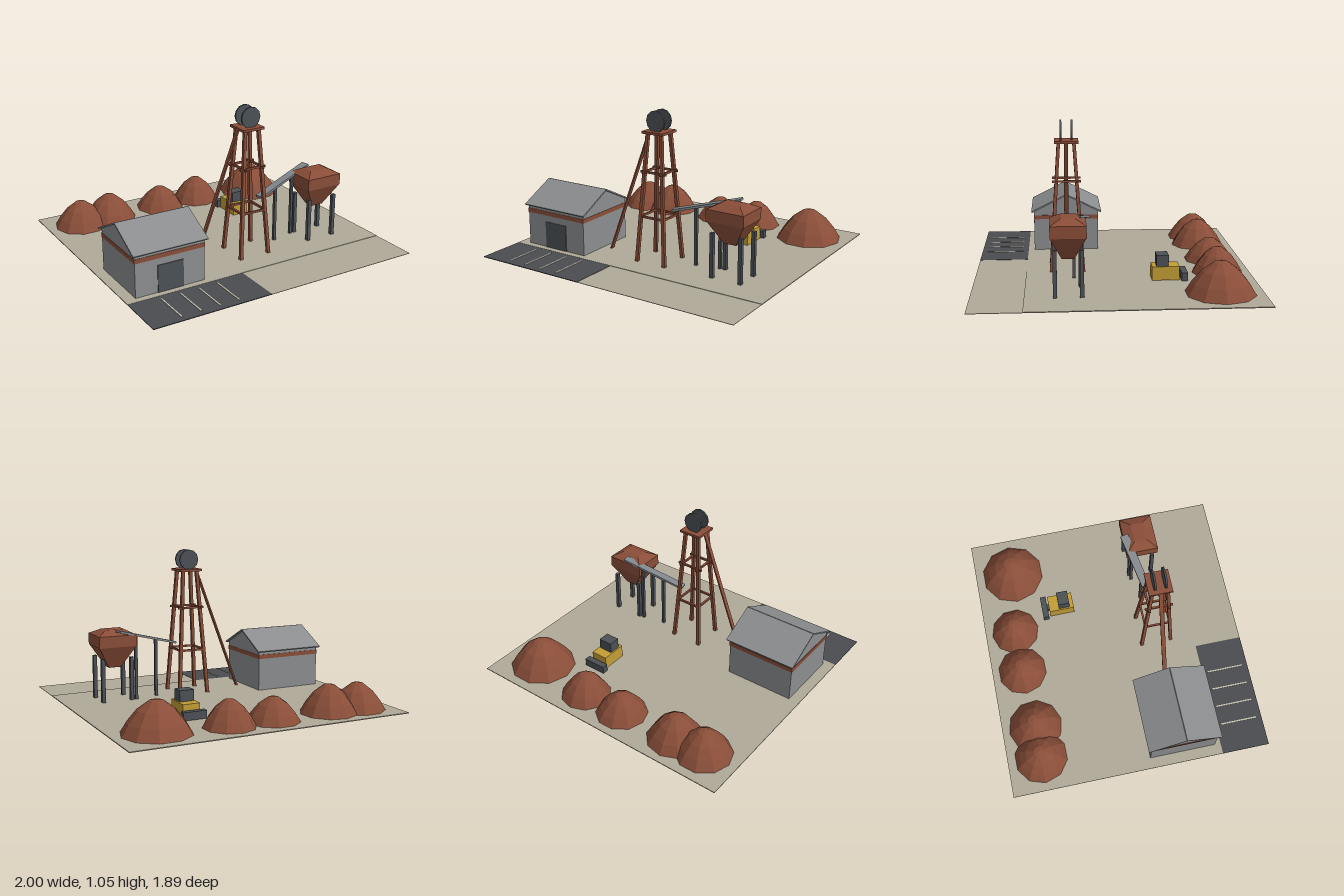
import * as THREE from 'three';

const V = (x, y, z) => new THREE.Vector3(x, y, z);
const paint = (name, color) => {
  const m = new THREE.MeshStandardMaterial({ color });
  m.name = name;
  return m;
};

export function createModel() {
  const root = new THREE.Group();
  root.name = 'mineYard';
  const sand = paint('sand', 0xb0a998);
  const asphalt = paint('asphalt', 0x4a4c50);
  const line = paint('parkingLine', 0xc8c3b0);
  const rust = paint('rust', 0x8a4e39);
  const grey = paint('wallGrey', 0x8b8d8f);
  const steel = paint('darkSteel', 0x4c5156);
  const belt = paint('beltGrey', 0x80868a);
  const yellow = paint('yellow', 0xc29d35);

  const group = (name) => {
    const g = new THREE.Group();
    g.name = name;
    root.add(g);
    return g;
  };
  const add = (parent, name, geo, mat) => {
    const m = new THREE.Mesh(geo, mat);
    m.name = name;
    parent.add(m);
    return m;
  };
  // Faceted copy of a geometry
  const flat = (geo) => {
    const g = geo.toNonIndexed();
    g.computeVertexNormals();
    return g;
  };
  // Box given by its limits on each axis
  const block = (parent, name, mat, x0, x1, y0, y1, z0, z1) => {
    const m = add(parent, name, new THREE.BoxGeometry(x1 - x0, y1 - y0, z1 - z0), mat);
    m.position.set((x0 + x1) / 2, (y0 + y1) / 2, (z0 + z1) / 2);
  };
  // Straight bar between two points
  const bar = (parent, name, mat, a, b, w, d) => {
    const m = add(parent, name, new THREE.BoxGeometry(w, a.distanceTo(b), d), mat);
    m.position.copy(a).lerp(b, 0.5);
    m.quaternion.setFromUnitVectors(V(0, 1, 0), b.clone().sub(a).normalize());
  };
  // Tapered box: half sizes at the bottom and at the top
  const taper = (bx, bz, tx, tz, h) => {
    const g = new THREE.BoxGeometry(2, h, 2);
    const p = g.attributes.position;
    for (let i = 0; i < p.count; i++) {
      const top = p.getY(i) > 0;
      p.setX(i, p.getX(i) * (top ? tx : bx));
      p.setZ(i, p.getZ(i) * (top ? tz : bz));
    }
    return flat(g);
  };

  // Ground and car park
  const ground = group('ground');
  block(ground, 'yard', sand, -1, 1, 0, 0.006, -0.945, 0.6);
  block(ground, 'frontStrip', sand, -0.16, 1, 0, 0.003, 0.6, 0.945);
  block(ground, 'carPark', asphalt, -1, -0.16, 0, 0.005, 0.6, 0.945);
  for (const x of [-0.787, -0.65, -0.515, -0.378])
    block(ground, 'parkingLine', line, x - 0.005, x + 0.005, 0.005, 0.008, 0.64, 0.905);

  // Shed with gabled roof
  const shed = group('shed');
  const gable = new THREE.Shape();
  gable.moveTo(-0.24, 0);
  gable.lineTo(0.24, 0);
  gable.lineTo(0.24, 0.3);
  gable.lineTo(0, 0.42);
  gable.lineTo(-0.24, 0.3);
  const walls = add(shed, 'walls', new THREE.ExtrudeGeometry(gable, { depth: 0.5, bevelEnabled: false }), grey);
  walls.rotation.y = Math.PI / 2;
  walls.position.set(-0.923, 0.004, 0.315);
  block(shed, 'wallBand', rust, -0.926, -0.42, 0.242, 0.272, 0.072, 0.558);
  block(shed, 'door', steel, -0.765, -0.58, 0.004, 0.195, 0.553, 0.56);
  for (const s of [-1, 1])
    bar(shed, 'roofSheet', grey, V(-0.672, 0.429, 0.313), V(-0.672, 0.298, 0.313 + s * 0.261), 0.535, 0.01);

  // Headframe tower
  const tower = group('headframe');
  tower.position.set(0.052, 0, 0.315);
  for (const sx of [-1, 1])
    for (const sz of [-1, 1])
      bar(tower, 'towerLeg', rust, V(sx * 0.112, 0, sz * 0.112), V(sx * 0.053, 0.9, sz * 0.053), 0.023, 0.023);
  for (const [y, off, half] of [[0.325, 0.09, 0.094], [0.635, 0.07, 0.1]])
    for (const s of [-1, 1]) {
      block(tower, 'towerBrace', rust, -half, half, y - 0.007, y + 0.007, s * off - 0.007, s * off + 0.007);
      block(tower, 'towerBrace', rust, s * off - 0.007, s * off + 0.007, y - 0.007, y + 0.007, -half, half);
    }
  block(tower, 'towerPlatform', rust, -0.083, 0.083, 0.897, 0.914, -0.083, 0.083);
  for (const s of [-1, 1]) {
    const wheel = add(tower, 'sheaveWheel', flat(new THREE.CylinderGeometry(0.073, 0.073, 0.013, 12)), steel);
    wheel.rotation.x = Math.PI / 2;
    wheel.position.set(0, 0.98, s * 0.038);
  }
  bar(tower, 'backStay', rust, V(-0.415, 0, 0), V(-0.075, 0.9, 0), 0.011, 0.03);

  // Sloping conveyor on two posts
  const conveyor = group('conveyor');
  const low = V(0.16, 0.38, 0.308), high = V(0.628, 0.505, 0.207);
  const beltMesh = add(conveyor, 'belt', new THREE.BoxGeometry(0.06, 0.016, low.distanceTo(high)), belt);
  beltMesh.position.copy(low).lerp(high, 0.5);
  beltMesh.lookAt(high);
  for (const [x, z, h] of [[0.32, 0.273, 0.415], [0.487, 0.237, 0.46]])
    block(conveyor, 'conveyorPost', steel, x - 0.01, x + 0.01, 0, h, z - 0.01, z + 0.01);

  // Ore hopper on four posts
  const hopper = group('hopper');
  hopper.position.set(0.63, 0, 0.317);
  block(hopper, 'bin', rust, -0.138, 0.138, 0.395, 0.475, -0.116, 0.116);
  add(hopper, 'chute', taper(0.045, 0.04, 0.136, 0.114, 0.155), rust).position.y = 0.3175;
  add(hopper, 'oreHeap', taper(0.136, 0.114, 0.07, 0.045, 0.035), rust).position.y = 0.4925;
  for (const sx of [-1, 1])
    for (const sz of [-1, 1]) {
      const x = sx * 0.106, z = sz * 0.086;
      block(hopper, 'hopperPost', steel, x - 0.013, x + 0.013, 0, 0.315, z - 0.013, z + 0.013);
    }

  // Digging machine
  const digger = group('digger');
  block(digger, 'diggerBody', yellow, 0.305, 0.428, 0.01, 0.104, -0.433, -0.248);
  block(digger, 'diggerCab', steel, 0.315, 0.418, 0.104, 0.18, -0.36, -0.278);
  block(digger, 'diggerBucket', steel, 0.283, 0.45, 0.01, 0.065, -0.488, -0.445);
  block(digger, 'bucketArm', steel, 0.345, 0.39, 0.025, 0.05, -0.446, -0.432);

  // Ore piles: x, z, radius, height, turn
  const profile = [[1, 0], [0.8, 0.35], [0.53, 0.7], [0.2, 0.96], [0, 1]];
  const piles = [
    [-0.75, -0.7, 0.195, 0.19, 0.32],
    [-0.52, -0.7, 0.198, 0.2, 0.1],
    [-0.08, -0.72, 0.182, 0.167, 0.32],
    [0.24, -0.72, 0.178, 0.185, 0.05],
    [0.71, -0.66, 0.234, 0.22, 0.314],
  ];
  for (const [x, z, r, h, turn] of piles) {
    const pts = profile.map(([a, b]) => new THREE.Vector2(a * r, b * h));
    const pile = add(root, 'orePile', flat(new THREE.LatheGeometry(pts, 10)), rust);
    pile.position.set(x, 0.003, z);
    pile.rotation.y = turn;
  }
  return root;
}
